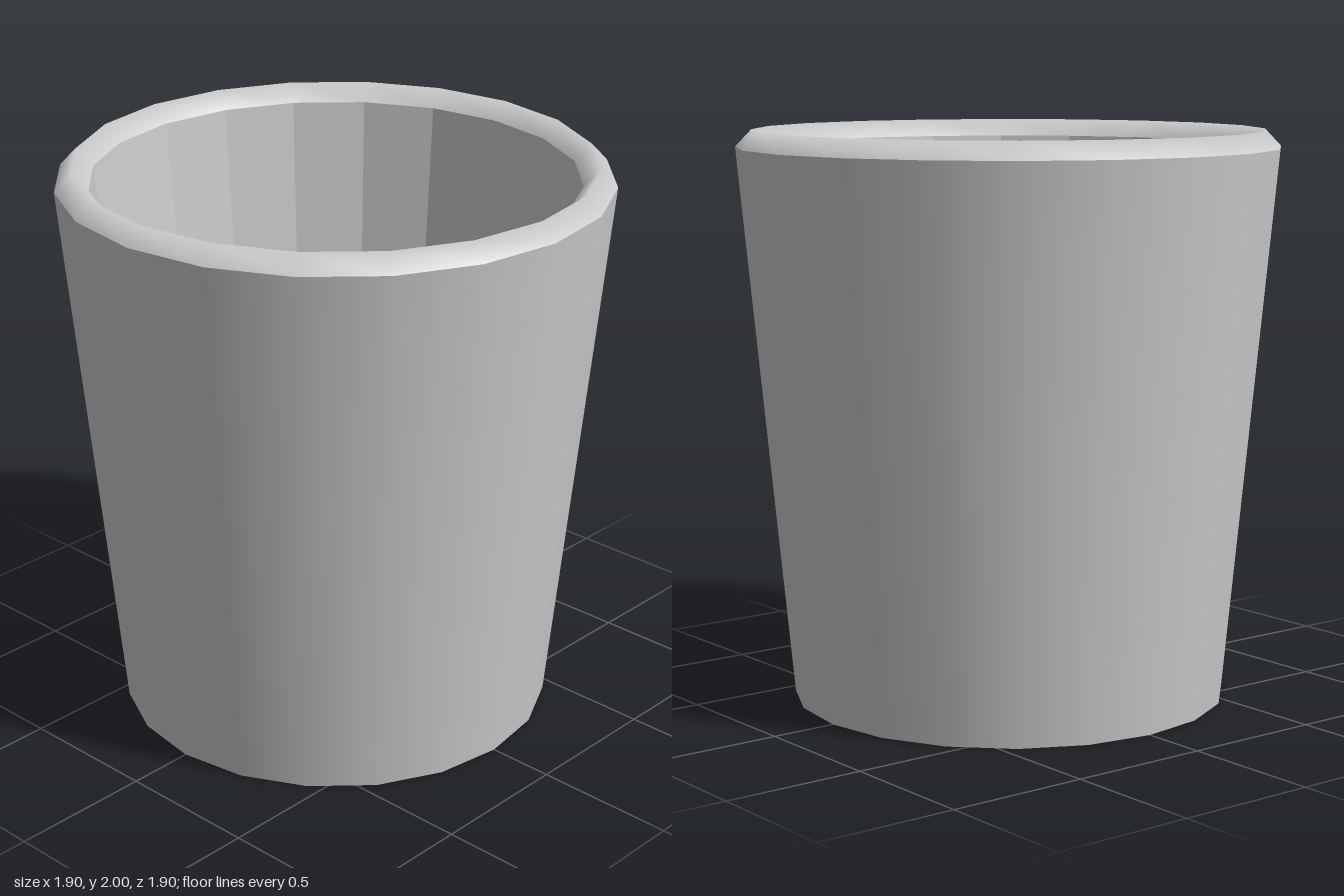
import * as THREE from 'three';

const SIDES = 20;
const OUTER_BASE = 0.765, OUTER_TOP = 0.95;
const INNER_BASE = 0.685, INNER_TOP = 0.835;
const FLOOR_Y = 0.35, LIP_Y = 1.94, TOP_Y = 2;

export function createModel() {
  const cup = new THREE.Group();
  cup.name = 'cup';
  const smooth = new THREE.MeshStandardMaterial({ color: 0xcccccc });
  const faceted = new THREE.MeshStandardMaterial({ color: 0xcccccc, flatShading: true });

  const add = (name, geometry, material) => {
    const mesh = new THREE.Mesh(geometry, material);
    mesh.name = name;
    cup.add(mesh);
    return mesh;
  };
  // Turns [radius, height] pairs around the vertical axis
  const turned = (profile) =>
    new THREE.LatheGeometry(profile.map(([r, y]) => new THREE.Vector2(r, y)), SIDES);

  // Tapered outside, smooth around
  add('outerWall', turned([[OUTER_BASE, 0], [OUTER_TOP, LIP_Y]]), smooth);

  // Ridged lip, softly shaded over its crest
  add('rim', turned([[OUTER_TOP, LIP_Y], [0.893, TOP_Y], [INNER_TOP, LIP_Y]]), smooth);

  // Faceted inside, running down to the floor
  add('innerWall', turned([[INNER_TOP, LIP_Y], [INNER_BASE, FLOOR_Y]]), faceted);

  // Flat discs: inner floor faces up, base faces down
  const floor = add('innerFloor', new THREE.CircleGeometry(INNER_BASE, SIDES), faceted);
  floor.rotation.x = -Math.PI / 2;
  floor.position.y = FLOOR_Y;
  const base = add('base', new THREE.CircleGeometry(OUTER_BASE, SIDES), faceted);
  base.rotation.x = Math.PI / 2;

  return cup;
}
